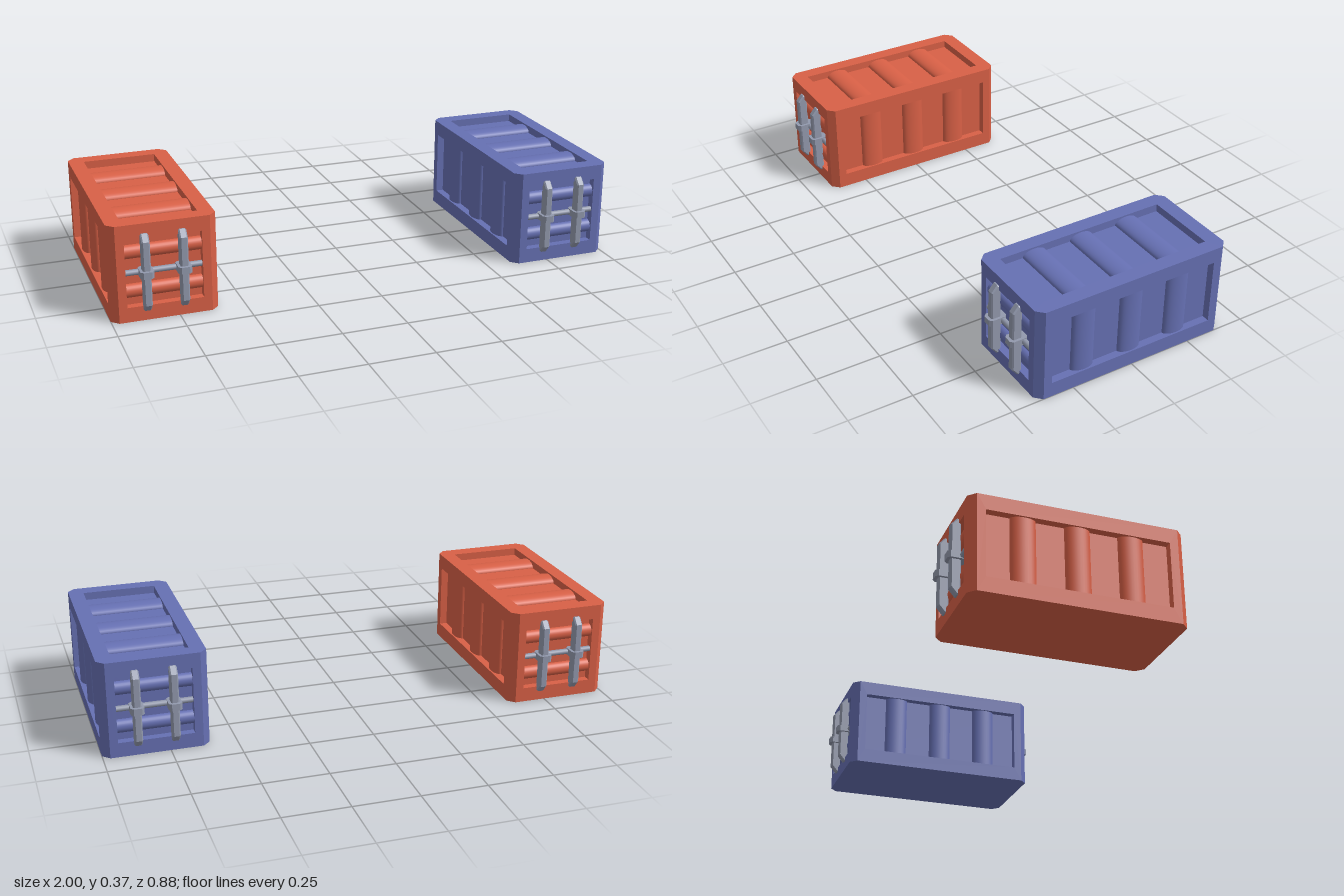
import * as THREE from 'three';
import { mergeGeometries } from 'three/addons/utils/BufferGeometryUtils.js';

const W = 0.4, H = 0.373, L = 0.8;   // container width, height, length
const C = 0.027;                     // chamfer of the upright corners
const D = 0.03;                      // depth of the recessed panels

const mat = (name, color) => {
  const m = new THREE.MeshStandardMaterial({ color });
  m.name = name;
  return m;
};

const part = (name, geometry, material) => {
  const mesh = new THREE.Mesh(geometry, material);
  mesh.name = name;
  return mesh;
};

const polygon = (pts, Type = THREE.Shape) => new Type(pts.map(([x, y]) => new THREE.Vector2(x, y)));
const rect = (w, h) => [[-w / 2, -h / 2], [w / 2, -h / 2], [w / 2, h / 2], [-w / 2, h / 2]];

// Rectangle with cut corners
const cutRect = (w, h, c) => {
  const a = w / 2, b = h / 2;
  return [[-a + c, -b], [a - c, -b], [a, -b + c], [a, b - c], [a - c, b], [-a + c, b], [-a, b - c], [-a, -b + c]];
};

// Wall with a recessed opening u by v; ribs run along v, spaced along u
function panelGeometry(outline, u, v, ribs, ribWidth) {
  const face = polygon(outline);
  face.holes.push(polygon(rect(u, v).reverse(), THREE.Path));
  const geos = [new THREE.ShapeGeometry(face), new THREE.PlaneGeometry(u, v).translate(0, 0, -D)];
  for (let k = 0; k < 4; k++) {
    const [len, off] = k % 2 ? [u, v] : [v, u];
    geos.push(new THREE.PlaneGeometry(D, len).rotateY(-Math.PI / 2)
      .translate(off / 2, 0, -D / 2).rotateZ(k * Math.PI / 2));
  }
  for (const x of ribs) {
    geos.push(new THREE.CylinderGeometry(1, 1, v, 14, 1, true, -Math.PI / 2, Math.PI)
      .scale(ribWidth / 2, 1, 0.024).translate(x, 0, -D));
  }
  return mergeGeometries(geos);
}

// Turns a panel so its u, v and outward axes point along the given directions
function orient(geometry, u, v, n, pos) {
  const m = new THREE.Matrix4().makeBasis(...[u, v, n].map(a => new THREE.Vector3(...a)));
  return geometry.applyMatrix4(m.setPosition(...pos));
}

// Locking bars, clamps and cross rod of one end
function lockingGear(metal) {
  const g = new THREE.Group();
  const bevel = 0.005;
  for (const x of [-0.069, 0.069]) {
    const profile = polygon([[0.395, 0.043], [0.403, 0.043], [0.423, 0.067],
      [0.423, 0.308], [0.403, 0.331], [0.395, 0.331]]);
    const bar = new THREE.ExtrudeGeometry(profile, {
      depth: 0.02, bevelEnabled: true, bevelThickness: bevel, bevelSize: bevel, bevelSegments: 1,
    });
    bar.translate(0, 0, -0.01).rotateY(-Math.PI / 2).translate(x, 0, 0);
    g.add(part('lockingBar', bar, metal));

    const clamp = new THREE.ExtrudeGeometry(polygon(cutRect(0.05, 0.07, 0.01)), { depth: 0.026, bevelEnabled: false });
    clamp.rotateX(-Math.PI / 2).translate(x, 0.174, 0.405);
    g.add(part('barClamp', clamp, metal));
  }
  const rod = new THREE.CylinderGeometry(0.011, 0.011, 0.282, 10).rotateZ(Math.PI / 2);
  g.add(part('crossRod', rod.translate(0, 0.187, 0.387), metal));
  return g;
}

function container(name, paint, metal) {
  const g = new THREE.Group();
  g.name = name;
  const midY = H / 2;
  const longRibs = [-0.2, 0, 0.2], endRibs = [-0.075, 0.075];

  // Ribbed ends and sides
  for (const s of [1, -1]) {
    const end = panelGeometry(rect(H, W - 2 * C), 0.26, 0.284, endRibs, 0.052);
    orient(end, [0, 1, 0], [-s, 0, 0], [0, 0, s], [0, midY, s * L / 2]);
    g.add(part(s > 0 ? 'frontPanel' : 'backPanel', end, paint));

    const side = panelGeometry(rect(L - 2 * C, H), 0.682, 0.257, longRibs, 0.095);
    orient(side, [0, 0, -s], [0, 1, 0], [s, 0, 0], [s * W / 2, midY, 0]);
    g.add(part(s > 0 ? 'leftPanel' : 'rightPanel', side, paint));
  }

  // Ribbed roof and plain floor
  const roof = panelGeometry(cutRect(L, W, C), 0.682, 0.284, longRibs, 0.095);
  g.add(part('roofPanel', orient(roof, [0, 0, 1], [1, 0, 0], [0, 1, 0], [0, H, 0]), paint));
  const floor = new THREE.ShapeGeometry(polygon(cutRect(W, L, C))).rotateX(Math.PI / 2);
  g.add(part('floor', floor, paint));

  // Chamfered corner posts
  for (const sx of [1, -1]) for (const sz of [1, -1]) {
    const post = new THREE.PlaneGeometry(C * Math.SQRT2, H).rotateY(Math.atan2(sx, sz));
    post.translate(sx * (W - C) / 2, midY, sz * (L - C) / 2);
    g.add(part('cornerPost', post, paint));
  }

  // Locking gear on both ends
  for (const turn of [0, Math.PI]) {
    const gear = lockingGear(metal);
    gear.name = turn ? 'backLockingGear' : 'frontLockingGear';
    gear.rotation.y = turn;
    g.add(gear);
  }
  return g;
}

export function createModel() {
  const model = new THREE.Group();
  model.name = 'shippingContainers';
  const metal = mat('steel', 0x9299ad);
  const blue = container('blueContainer', mat('bluePaint', 0x6670b3), metal);
  const red = container('redContainer', mat('redPaint', 0xd86046), metal);
  blue.position.x = 0.8;
  red.position.x = -0.8;
  model.add(blue, red);
  return model;
}
